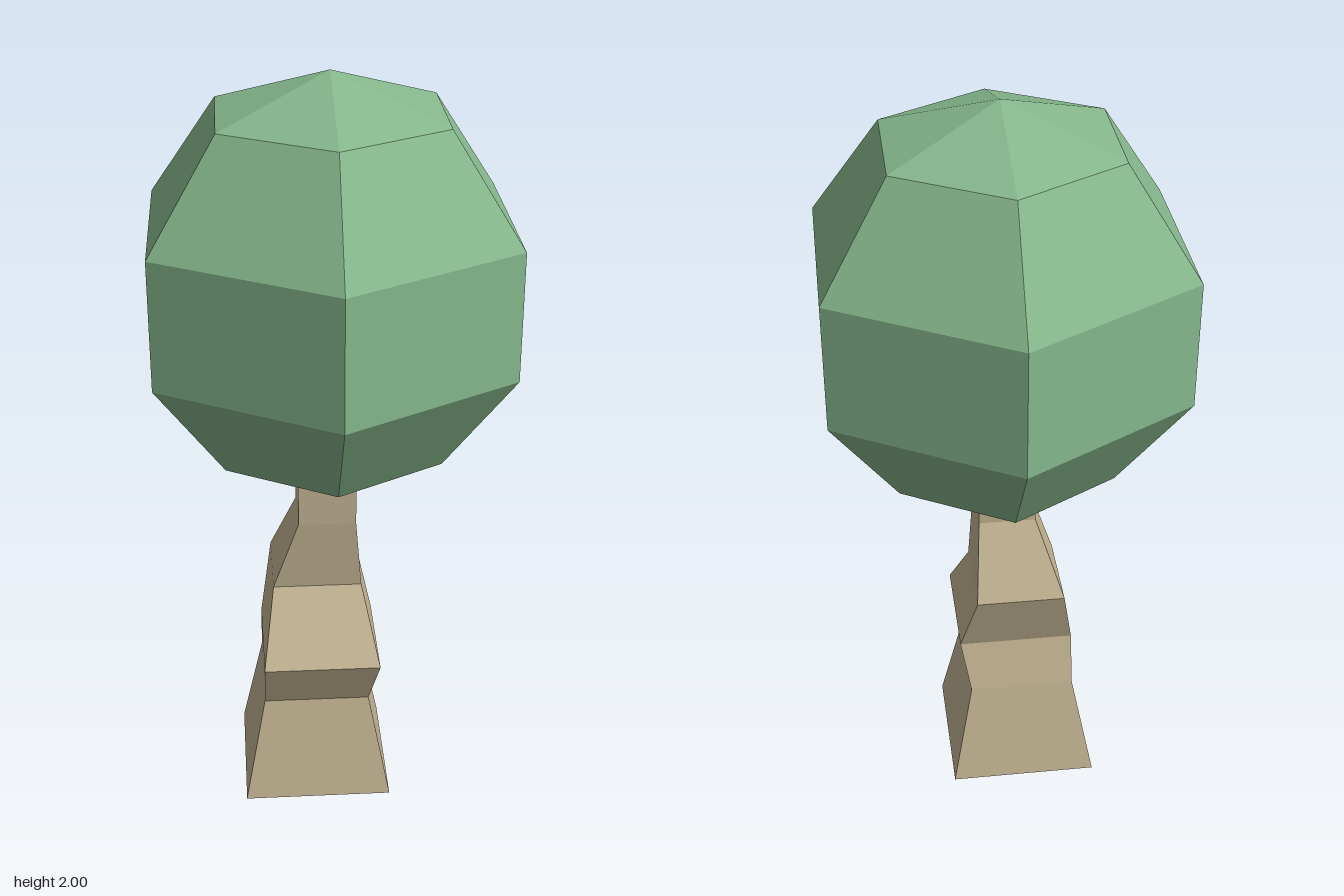
import * as THREE from 'three';

const leafGreen = new THREE.MeshStandardMaterial({ color: 0x86b78c });
const barkTan = new THREE.MeshStandardMaterial({ color: 0xc2b392 });

// Split the corners so that every face is shaded flat
function faceted(geometry) {
  const flat = geometry.toNonIndexed();
  flat.computeVertexNormals();
  return flat;
}

// Square sections of the crooked trunk: height, centre x, centre z, width
const sections = [
  [0, -0.047, 0.016, 0.4],
  [0.29, -0.047, 0.016, 0.286],
  [0.43, -0.034, 0.066, 0.312],
  [0.615, -0.04, -0.029, 0.238],
  [0.815, -0.014, 0.029, 0.153],
  [1.03, -0.014, 0.029, 0.153],
];

function trunkGeometry() {
  const steps = sections.length - 1;
  const geometry = new THREE.BoxGeometry(1, 1, 1, 1, steps, 1);
  const p = geometry.attributes.position;
  for (let i = 0; i < p.count; i++) {
    const [y, x, z, width] = sections[Math.round((p.getY(i) + 0.5) * steps)];
    p.setXYZ(i, x + p.getX(i) * width, y, z + p.getZ(i) * width);
  }
  return faceted(geometry);
}

export function createModel() {
  const tree = new THREE.Group();
  tree.name = 'tree';

  const trunk = new THREE.Mesh(trunkGeometry(), barkTan);
  trunk.name = 'trunk';

  // Six-sided ball of leaves with corners pointing to the front and back
  const ball = new THREE.SphereGeometry(0.545, 6, 5).rotateY(Math.PI / 6);
  const foliage = new THREE.Mesh(faceted(ball), leafGreen);
  foliage.name = 'foliage';
  foliage.position.y = 1.455;

  tree.add(trunk, foliage);
  return tree;
}
